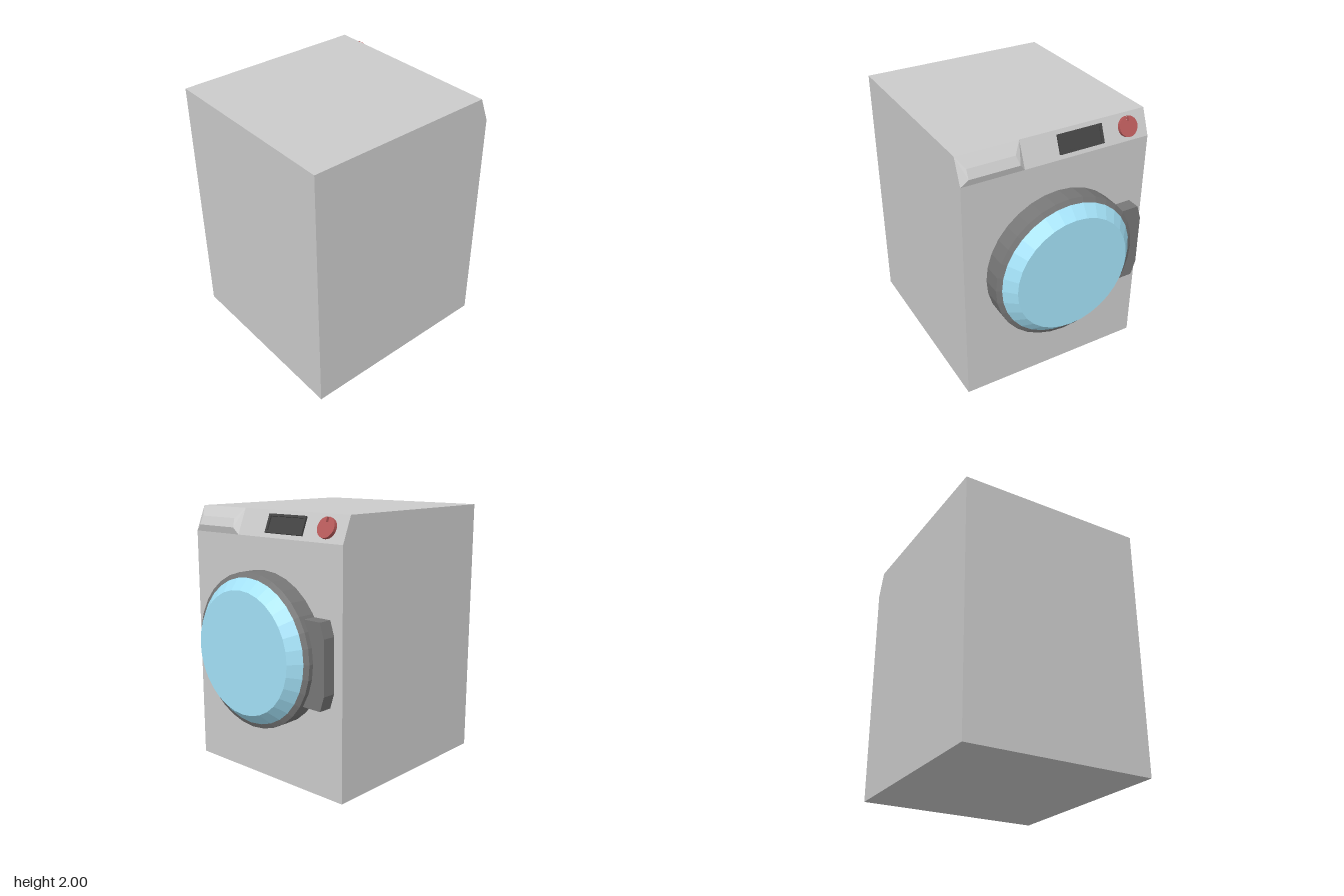
import * as THREE from 'three';
import { ConvexGeometry } from 'three/addons/geometries/ConvexGeometry.js';

const mat = (color) => new THREE.MeshStandardMaterial({ color, flatShading: true });
const grey = mat(0xcccccc), dark = mat(0x777777), black = mat(0x444444);
const glass = mat(0xa4e2f8), red = mat(0xb85a5a);

const toShape = (pts) => new THREE.Shape(pts.map(([x, y]) => new THREE.Vector2(x, y)));
const extrude = (shape, depth) => new THREE.ExtrudeGeometry(shape, { depth, bevelEnabled: false });

function add(parent, name, geometry, material, x = 0, y = 0, z = 0) {
  const mesh = new THREE.Mesh(geometry, material);
  mesh.name = name;
  mesh.position.set(x, y, z);
  parent.add(mesh);
  return mesh;
}

const rect = (w, h) => [[-w / 2, -h / 2], [w / 2, -h / 2], [w / 2, h / 2], [-w / 2, h / 2]];

export function createModel() {
  const model = new THREE.Group();
  const W = 0.745;

  // Cabinet: side profile (depth, height) with sloped control panel, swept across x
  const profile = toShape([[-0.905, 0], [0.667, 0], [0.667, 1.81], [0.59, 2], [-0.905, 2]]);
  add(model, 'cabinet', extrude(profile, 2 * W).rotateY(Math.PI / 2), grey, -W);

  // Door: round frame and bulging glass, revolved and turned to face -z
  const door = new THREE.Group();
  door.name = 'door';
  door.position.set(0, 1.003, 0);
  door.rotation.x = -Math.PI / 2;
  model.add(door);
  const lathe = (pts) => new THREE.LatheGeometry(pts.map(([r, h]) => new THREE.Vector2(r, h)), 32);
  add(door, 'doorFrame', lathe([[0.572, 0.66], [0.572, 0.805], [0.535, 0.825], [0, 0.825]]), dark);
  add(door, 'doorGlass', lathe([[0.535, 0.825], [0.455, 0.905], [0, 0.905]]), glass);

  // Door handle with clipped outer corners
  const grip = toShape([[-0.42, 0.68], [-0.635, 0.68], [-0.67, 0.79], [-0.67, 1.19], [-0.635, 1.3], [-0.42, 1.3]]);
  add(model, 'doorHandle', extrude(grip, 0.11), dark, 0, 0, -0.77);

  // Detergent drawer: raised block with bevelled edges on the slope
  const drawer = [];
  const rows = [[0.27, W, 2, -0.59], [0.33, 0.69, 1.925, -0.65], [0.31, 0.69, 1.86, -0.681], [0.27, W, 1.81, -0.667]];
  for (const [x0, x1, y, z] of rows) {
    drawer.push(new THREE.Vector3(x0, y, z), new THREE.Vector3(x1, y, z));
  }
  add(model, 'detergentDrawer', new ConvexGeometry(drawer), grey);

  // Control panel frame of reference: local z points out of the slope, local x is -x
  const panel = new THREE.Group();
  panel.name = 'controlPanel';
  panel.position.set(0, 1.905, -0.6285);
  panel.rotation.set(-Math.atan2(0.077, 0.19), Math.PI, 0, 'YXZ');
  model.add(panel);

  // Display: shallow frame around a sunken screen
  const frame = toShape(rect(0.36, 0.14));
  frame.holes.push(new THREE.Path(rect(0.32, 0.105).map(([x, y]) => new THREE.Vector2(x, y))));
  add(panel, 'displayFrame', extrude(frame, 0.015), black, 0.19, 0, 0);
  add(panel, 'displayScreen', new THREE.BoxGeometry(0.34, 0.12, 0.006), black, 0.19, 0, 0.002);

  // Knob: disc with a pointer slot at its upper edge
  const R = 0.075, a = 0.13;
  const disc = new THREE.Shape();
  disc.moveTo(-R * Math.sin(a), 0.035);
  disc.lineTo(-R * Math.sin(a), R * Math.cos(a));
  disc.absarc(0, 0, R, Math.PI / 2 + a, Math.PI * 2.5 - a, false);
  disc.lineTo(R * Math.sin(a), 0.035);
  add(panel, 'knob', extrude(disc, 0.026), red, 0.58, 0, 0);

  return model;
}
